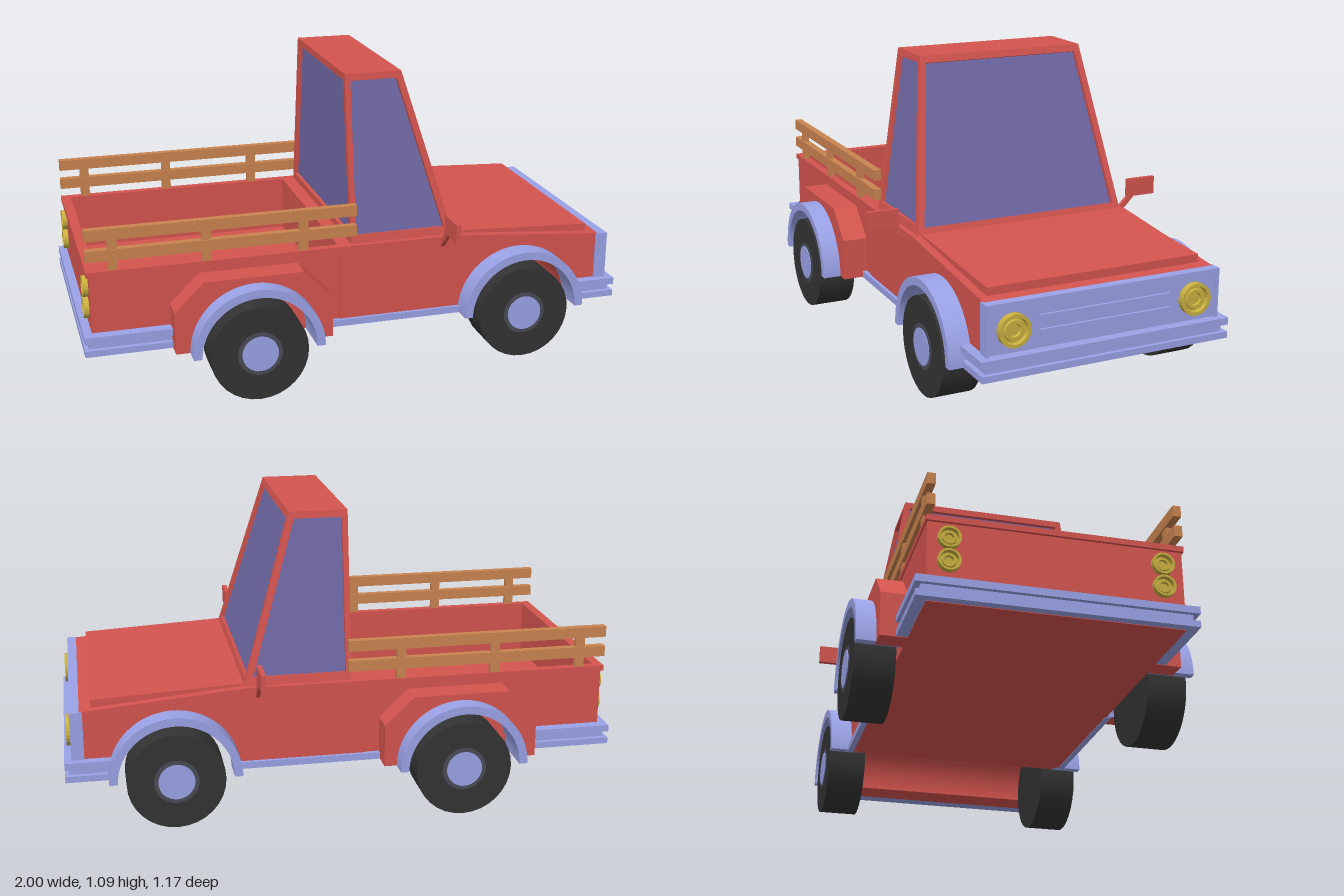
import * as THREE from 'three';

const mat = (color, side = THREE.FrontSide) =>
  new THREE.MeshStandardMaterial({ color, side, flatShading: false });
const RED = mat(0xd4544e), BLUE = mat(0x9aa2e6), GLASS = mat(0x7069a6), WOOD = mat(0xc98350),
  GOLD = mat(0xc9b040), TYRE = mat(0x333333), DARK = mat(0x4a4a55);

export function createModel() {
  const truck = new THREE.Group();
  truck.name = 'pickupTruck';

  const add = (name, geo, material) => {
    const m = new THREE.Mesh(geo, material);
    m.name = name;
    truck.add(m);
    return m;
  };
  // Box given by its minimum and maximum on each axis
  const box = (name, material, x0, x1, y0, y1, z0, z1) =>
    add(name, new THREE.BoxGeometry(x1 - x0, y1 - y0, z1 - z0)
      .translate((x0 + x1) / 2, (y0 + y1) / 2, (z0 + z1) / 2), material);
  // Side profile extruded between two z values
  const slab = (name, material, shape, z0, z1) =>
    add(name, new THREE.ExtrudeGeometry(shape, { depth: z1 - z0, bevelEnabled: false, curveSegments: 24 })
      .translate(0, 0, z0), material);
  const poly = pts => new THREE.Shape(pts.map(p => new THREE.Vector2(...p)));
  // Same part on both sides: f receives z0, z1 in ascending order
  const bothSides = (z0, z1, f) => { f('left', z0, z1, 1); f('right', -z1, -z0, -1); };
  // Flat four-cornered faces, corners anticlockwise from outside
  const quads = list => {
    const g = new THREE.BufferGeometry();
    const pos = list.flatMap(([a, b, c, d]) => [a, b, c, a, c, d].flatMap(p => p.toArray()));
    g.setAttribute('position', new THREE.Float32BufferAttribute(pos, 3));
    g.computeVertexNormals();
    return g;
  };

  const REAR = -0.41, FRONT = 0.615, AXLE = 0.175, BASE = 0.18;

  // Front body with open wheel wells
  const body = new THREE.Shape();
  body.moveTo(-0.08, BASE);
  body.lineTo(FRONT - 0.21, BASE);
  body.absarc(FRONT, BASE, 0.21, Math.PI, 0, true);
  body.lineTo(0.94, BASE);
  body.lineTo(0.94, 0.43);
  body.lineTo(0.36, 0.48);
  body.lineTo(-0.08, 0.48);
  slab('frontBody', RED, body, -0.43, 0.43);
  slab('hood', RED, poly([[0.36, 0.46], [0.9, 0.42], [0.9, 0.462], [0.43, 0.485], [0.36, 0.485]]), -0.4, 0.4);

  // Open cargo bed
  box('bedFloor', RED, -0.97, -0.08, BASE, 0.27, -0.425, 0.425);
  box('tailgate', RED, -0.97, -0.945, 0.27, 0.46, -0.425, 0.425);
  box('tailgateRim', RED, -0.98, -0.945, 0.46, 0.48, -0.43, 0.43);
  bothSides(0.4, 0.425, (s, z0, z1) => box(s + 'BedWall', RED, -0.945, -0.08, 0.27, 0.46, z0, z1));
  bothSides(0.4, 0.43, (s, z0, z1) => box(s + 'BedRim', RED, -0.945, -0.08, 0.46, 0.48, z0, z1));

  // Wooden side rails on posts
  bothSides(0.402, 0.43, (s, z0, z1) => {
    for (const y of [0.517, 0.592]) box(s + 'Rail', WOOD, -0.98, -0.015, y, y + 0.04, z0, z1);
    for (const x of [-0.885, -0.56, -0.21])
      box(s + 'RailPost', WOOD, x - 0.017, x + 0.017, 0.48, 0.615, z0 + 0.004, z1 - 0.004);
  });

  // Tapered cab: each wall is a frame around a recessed window
  const Y0 = 0.48, Y1 = 1.085;
  const mix = (a, b, y) => a + (b - a) * (y - Y0) / (Y1 - Y0);
  const frontX = y => mix(0.36, 0.18, y);
  const sideZ = y => mix(0.41, 0.32, y);
  const V = (x, y, z) => new THREE.Vector3(x, y, z);
  const wall = (name, outer, inner) => {
    const n = outer[1].clone().sub(outer[0]).cross(outer[3].clone().sub(outer[0])).normalize();
    const deep = inner.map(p => p.clone().addScaledVector(n, -0.015));
    const faces = [];
    for (let i = 0; i < 4; i++) {
      const j = (i + 1) % 4;
      faces.push([outer[i], outer[j], inner[j], inner[i]], [inner[i], inner[j], deep[j], deep[i]]);
    }
    add(name + 'Frame', quads(faces), RED);
    add(name + 'Window', quads([deep]), GLASS);
  };
  // Wall across the cab; dir is +1 for the windscreen, -1 for the back
  const crossWall = (name, xAt, dir) => {
    const ring = (y0, y1, inset) => [[y0, 1], [y0, -1], [y1, -1], [y1, 1]]
      .map(([y, s]) => V(xAt(y), y, s * dir * (sideZ(y) - inset)));
    wall(name, ring(Y0, Y1, 0), ring(0.505, 1.06, 0.024));
  };
  crossWall('windscreen', frontX, 1);
  crossWall('cabBack', () => -0.03, -1);
  for (const s of [1, -1]) {
    const ring = (y0, y1, xb, inset) => {
      const pts = [[xb, y0], [frontX(y0) - inset, y0], [frontX(y1) - inset, y1], [xb, y1]]
        .map(([x, y]) => V(x, y, s * sideZ(y)));
      return s > 0 ? pts : pts.reverse();
    };
    wall(s > 0 ? 'leftCab' : 'rightCab', ring(Y0, Y1, -0.03, 0), ring(0.51, 1.06, -0.01, 0.025));
  }
  add('roof', quads([[V(-0.03, Y1, 0.32), V(0.18, Y1, 0.32), V(0.18, Y1, -0.32), V(-0.03, Y1, -0.32)]]), RED);

  // Rear fenders, cut out around the wheel
  const fender = new THREE.Shape();
  fender.moveTo(-0.695, BASE);
  fender.lineTo(REAR - 0.21, BASE);
  fender.absarc(REAR, BASE, 0.21, Math.PI, 0, true);
  [[-0.13, BASE], [-0.13, 0.335], [-0.235, 0.437], [-0.59, 0.437], [-0.695, 0.335]]
    .forEach(p => fender.lineTo(...p));
  bothSides(0.42, 0.518, (s, z0, z1) => slab(s + 'RearFender', RED, fender, z0, z1));

  // Wheel arch trims
  const arch = x => {
    const a = new THREE.Shape();
    a.absarc(x, BASE, 0.235, 0, Math.PI, false);
    a.absarc(x, BASE, 0.205, Math.PI, 0, true);
    return a;
  };
  bothSides(0.4, 0.51, (s, z0, z1) => slab(s + 'FrontArch', BLUE, arch(FRONT), z0, z1));
  bothSides(0.43, 0.585, (s, z0, z1) => slab(s + 'RearArch', BLUE, arch(REAR), z0, z1));

  // Wheels
  const disc = (name, material, r, x, z0, z1) =>
    add(name, new THREE.CylinderGeometry(r, r, z1 - z0, 32).rotateX(Math.PI / 2)
      .translate(x, AXLE, (z0 + z1) / 2), material);
  for (const [n, x, out] of [['Front', FRONT, 0.505], ['Rear', REAR, 0.58]])
    bothSides(out - 0.14, out, (s, z0, z1, k) => {
      disc(s + n + 'Tyre', TYRE, 0.175, x, z0, z1);
      disc(s + n + 'HubRing', DARK, 0.08, x, z0 + k * 0.002, z1 + k * 0.002);
      disc(s + n + 'Hub', BLUE, 0.065, x, z0 + k * 0.005, z1 + k * 0.005);
    });

  // Stepped bumpers wrapping the corners, and sills
  for (const [y0, y1, z, x] of [[0.182, 0.205, 0.463, 1], [0.205, 0.23, 0.445, 0.985], [0.23, 0.255, 0.465, 1]]) {
    box('frontBumper', BLUE, 0.835, x, y0, y1, -z, z);
    box('rearBumper', BLUE, -x, -0.65, y0, y1, -z, z);
  }
  bothSides(0.42, 0.442, (s, z0, z1) => box(s + 'Sill', BLUE, -0.2, 0.4, 0.178, 0.203, z0, z1));

  // Grille panel with raised border and bars
  box('grillePanel', BLUE, 0.93, 0.965, 0.2, 0.43, -0.437, 0.437);
  box('grilleTopBorder', BLUE, 0.965, 0.975, 0.42, 0.43, -0.437, 0.437);
  bothSides(0.425, 0.437, (s, z0, z1) => box(s + 'GrilleBorder', BLUE, 0.965, 0.975, 0.25, 0.42, z0, z1));
  for (const y of [0.31, 0.36]) box('grilleBar', BLUE, 0.965, 0.975, y - 0.01, y + 0.01, -0.245, 0.245);

  // Round lamps: a dish with a raised rim and a centre lens
  const lamp = (name, x, y, z, r, dir) => {
    const rim = new THREE.LatheGeometry([[0, 0.008], [0.35, 0.008], [0.4, 0.016], [0.6, 0.016], [0.65, 0.01],
      [0.75, 0.01], [0.8, 0.024], [1, 0.024], [1, 0]].reverse().map(([a, b]) => new THREE.Vector2(a * r, b)), 24);
    const m = add(name, rim.toNonIndexed(), GOLD);
    m.geometry.computeVertexNormals();
    m.rotation.z = -dir * Math.PI / 2;
    m.position.set(x, y, z);
  };
  for (const s of [1, -1]) {
    lamp('headlight', 0.965, 0.335, s * 0.34, 0.057, 1);
    for (const y of [0.405, 0.325]) lamp('tailLight', -0.965, y, s * 0.355, 0.038, -1);
  }

  // Door mirrors on slanted arms
  for (const s of [1, -1]) {
    const z = [0.467, 0.583].map(v => v * s).sort((a, b) => a - b);
    box('mirror', RED, 0.305, 0.322, 0.51, 0.577, z[0], z[1]);
    const arm = add('mirrorArm', new THREE.BoxGeometry(0.014, 0.02, 0.1), RED);
    arm.position.set(0.313, 0.482, s * 0.455);
    arm.rotation.x = -s * 0.79;
  }
  return truck;
}
